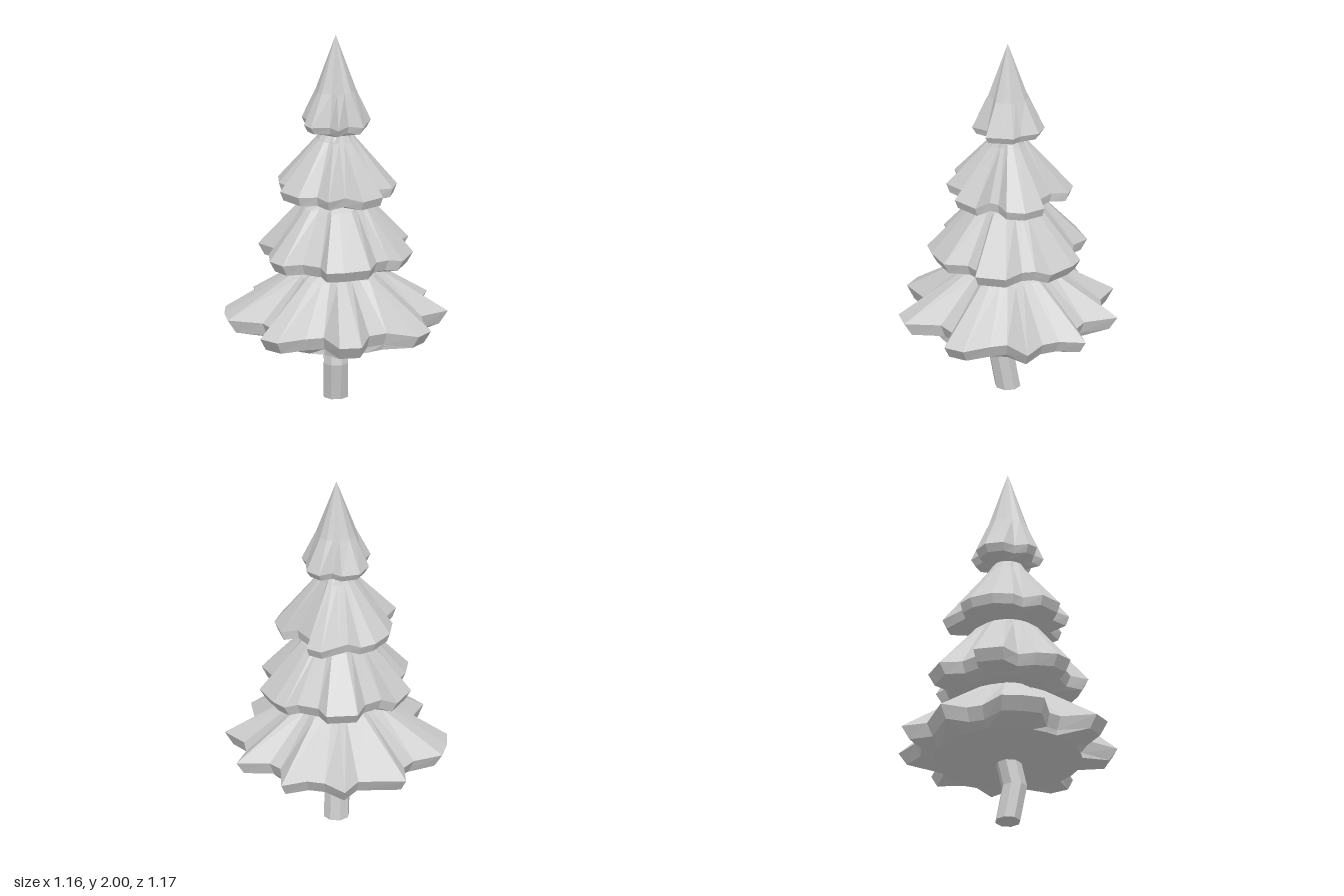
import * as THREE from 'three';

const material = new THREE.MeshStandardMaterial({ color: 0xcccccc, flatShading: true });

// Joins closed rings of points, listed from top to bottom, into a faceted skin.
function loft(name, rings) {
  const pos = [];
  const n = rings[0].length;
  const same = (a, b) => a.distanceToSquared(b) < 1e-9;
  const tri = (a, b, c) => {
    if (!same(a, b) && !same(b, c) && !same(a, c)) pos.push(...a.toArray(), ...b.toArray(), ...c.toArray());
  };
  for (let k = 0; k < rings.length - 1; k++) {
    const up = rings[k], low = rings[k + 1];
    for (let i = 0; i < n; i++) {
      const j = (i + 1) % n;
      tri(up[i], up[j], low[j]);
      tri(up[i], low[j], low[i]);
    }
  }
  const geometry = new THREE.BufferGeometry();
  geometry.setAttribute('position', new THREE.Float32BufferAttribute(pos, 3));
  geometry.computeVertexNormals();
  const mesh = new THREE.Mesh(geometry, material);
  mesh.name = name;
  return mesh;
}

// One layer of boughs: a star outline [x, z] swept through levels.
// Level: [y, radius of round part, share of the star outline, tilt along x]
function tier(name, outline, levels) {
  const spokes = outline
    .map(([x, z]) => ({ angle: Math.atan2(z, x), r: Math.hypot(x, z) }))
    .sort((a, b) => a.angle - b.angle);
  return loft(name, levels.map(([y, round, star, tilt = 0]) => spokes.map(({ angle, r }) => {
    const d = round + star * r;
    const x = d * Math.cos(angle);
    return new THREE.Vector3(x, y + tilt * x, d * Math.sin(angle));
  })));
}

const bottomOutline = [
  [0, -0.59], [0.2, -0.44], [0.33, -0.49], [0.35, -0.345], [0.41, -0.27], [0.545, -0.225],
  [0.435, -0.08], [0.445, 0], [0.58, 0.11], [0.46, 0.18], [0.41, 0.26], [0.42, 0.41],
  [0.26, 0.37], [0.2, 0.44], [0.12, 0.57], [0.01, 0.585], [-0.06, 0.42], [-0.155, 0.385],
  [-0.32, 0.485], [-0.41, 0.41], [-0.34, 0.23], [-0.42, 0.175], [-0.57, 0.11], [-0.58, 0],
  [-0.41, -0.09], [-0.39, -0.16], [-0.48, -0.325], [-0.41, -0.415], [-0.32, -0.49],
  [-0.165, -0.445], [-0.08, -0.47],
];
const lowerOutline = [
  [-0.08, -0.41], [-0.04, -0.33], [0.06, -0.32], [0.16, -0.385], [0.3, -0.295], [0.28, -0.2],
  [0.34, -0.1], [0.41, -0.08], [0.42, 0], [0.39, 0.155], [0.3, 0.17], [0.25, 0.22], [0.23, 0.34],
  [0.08, 0.405], [0.04, 0.34], [-0.03, 0.32], [-0.14, 0.38], [-0.27, 0.31], [-0.34, 0.25],
  [-0.29, 0.16], [-0.32, 0.06], [-0.41, 0], [-0.4, -0.1], [-0.32, -0.18], [-0.23, -0.22],
  [-0.225, -0.345],
];
const upperOutline = [
  [0, -0.33], [0.08, -0.31], [0.11, -0.24], [0.16, -0.23], [0.27, -0.21], [0.3, -0.13],
  [0.23, -0.07], [0.22, 0.05], [0.3, 0.09], [0.255, 0.2], [0.17, 0.25], [0.09, 0.21], [0.04, 0.22],
  [0.02, 0.32], [-0.12, 0.31], [-0.14, 0.2], [-0.26, 0.19], [-0.24, 0.09], [-0.32, 0.03],
  [-0.31, -0.11], [-0.21, -0.15], [-0.2, -0.22], [-0.12, -0.3],
];
const topOutline = [
  [0, -0.2], [0.09, -0.16], [0.11, -0.1], [0.18, -0.08], [0.2, 0], [0.14, 0.08], [0.13, 0.13],
  [0.07, 0.16], [0, 0.2], [-0.04, 0.13], [-0.13, 0.14], [-0.12, 0.07], [-0.19, 0],
  [-0.18, -0.06], [-0.11, -0.09], [-0.09, -0.16],
];

// Bent eight-sided trunk
function trunk() {
  const sections = [[0.42, 0.01], [0.2, -0.025], [0, 0]];
  const rings = sections.map(([y, shift]) => Array.from({ length: 8 }, (_, i) => {
    const a = (i + 0.5) * Math.PI / 4;
    return new THREE.Vector3(shift + 0.068 * Math.cos(a), y, -shift + 0.068 * Math.sin(a));
  }));
  rings.push(rings[2].map(() => new THREE.Vector3(0, 0, 0)));
  return loft('trunk', rings);
}

export function createModel() {
  const tree = new THREE.Group();
  tree.name = 'firTree';
  tree.add(
    trunk(),
    tier('bottomBoughs', bottomOutline, [
      [0.76, 0, 0], [0.74, 0.14, 0], [0.69, 0.11, 0.22], [0.46, 0, 1],
      [0.39, 0.02, 0.89], [0.36, 0.39, 0], [0.33, 0.08, 0], [0.33, 0, 0],
    ]),
    tier('lowerBoughs', lowerOutline, [
      [1.12, 0, 0], [1.1, 0.15, 0], [1.07, 0.08, 0.27], [0.82, 0, 1],
      [0.76, 0.02, 0.87], [0.73, 0.23, 0], [0.73, 0, 0],
    ]),
    tier('upperBoughs', upperOutline, [
      [1.5, 0, 0], [1.48, 0.07, 0], [1.43, 0.04, 0.2], [1.17, 0, 1, -0.04],
      [1.12, 0.02, 0.88, -0.04], [1.1, 0.17, 0], [1.1, 0, 0],
    ]),
    tier('topBoughs', topOutline, [
      [2, 0, 0], [1.7, 0.06, 0.25], [1.53, 0, 1],
      [1.49, 0.01, 0.83], [1.47, 0.1, 0], [1.47, 0, 0],
    ]),
  );
  return tree;
}
